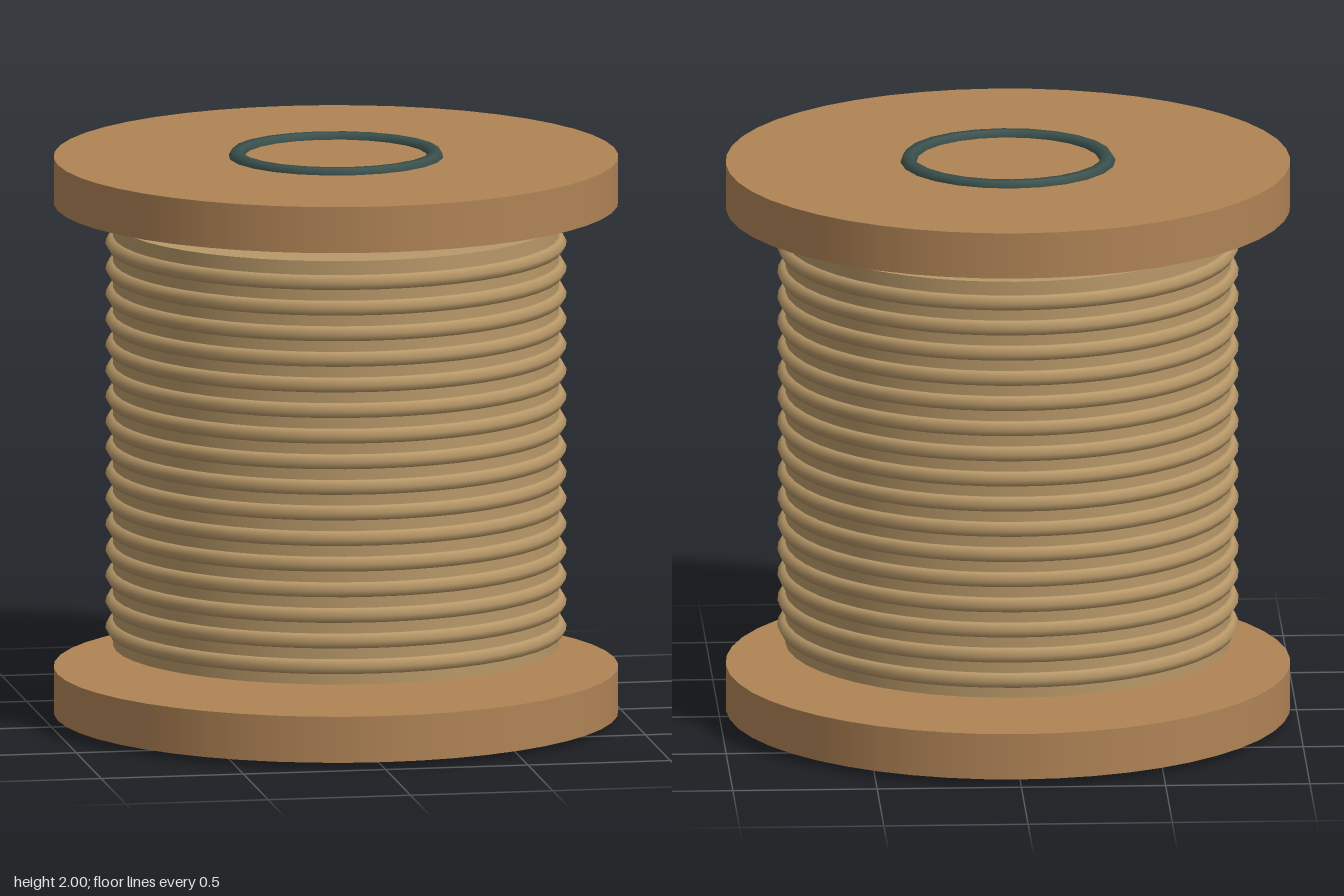
import * as THREE from 'three';

export function createModel() {
  const model = new THREE.Group();
  model.name = 'spool';

  const wood = new THREE.MeshStandardMaterial({ color: 0xb08355 });
  const rope = new THREE.MeshStandardMaterial({ color: 0xb89868 });
  const iron = new THREE.MeshStandardMaterial({ color: 0x3a504c });

  const add = (name, geometry, material, y) => {
    const mesh = new THREE.Mesh(geometry, material);
    mesh.name = name;
    mesh.position.y = y;
    model.add(mesh);
  };
  const flatRing = (radius, tube, sides, segments) =>
    new THREE.TorusGeometry(radius, tube, sides, segments).rotateX(Math.PI / 2);

  // Wound body, floating clear of both end discs
  add('windingBody', new THREE.CylinderGeometry(0.772, 0.772, 1.49, 48), rope, 1.005);

  // Raised rope turns
  const turns = 16;
  const turn = flatRing(0.77, 0.029, 6, 48);
  for (let i = 0; i < turns; i++) {
    add(`ropeTurn${i + 1}`, turn, rope, 0.324 + (i * 1.352) / (turns - 1));
  }

  // End discs, each with a metal ring around the hub
  const disc = new THREE.CylinderGeometry(0.978, 0.978, 0.162, 48);
  const hub = flatRing(0.345, 0.03, 6, 24);
  for (const [end, side] of [['bottom', -1], ['top', 1]]) {
    add(`${end}Disc`, disc, wood, 1 + side * 0.897);
    add(`${end}HubRing`, hub, iron, 1 + side * 0.974);
  }

  return model;
}
